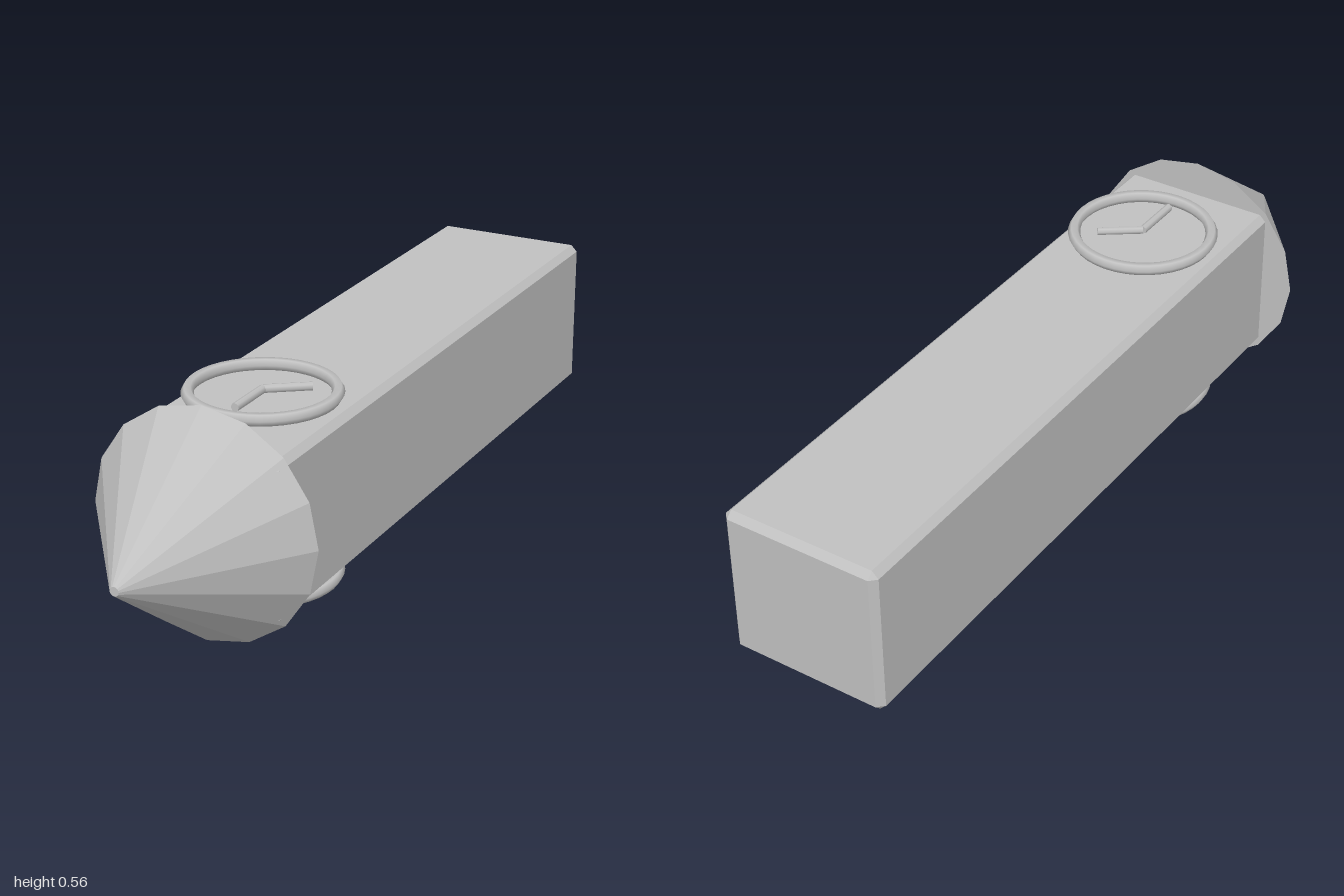
import * as THREE from 'three';
import { ConvexGeometry } from 'three/addons/geometries/ConvexGeometry.js';

// Box with every edge cut off at 45 degrees; hx, hy, hz are half sizes
function chamferedBox(hx, hy, hz, c) {
  const points = [];
  for (const sx of [-1, 1]) for (const sy of [-1, 1]) for (const sz of [-1, 1]) {
    points.push(
      new THREE.Vector3(sx * hx, sy * (hy - c), sz * (hz - c)),
      new THREE.Vector3(sx * (hx - c), sy * hy, sz * (hz - c)),
      new THREE.Vector3(sx * (hx - c), sy * (hy - c), sz * hz));
  }
  return new ConvexGeometry(points);
}

export function createModel() {
  const model = new THREE.Group();
  model.name = 'clockTower';
  const stone = new THREE.MeshStandardMaterial({ color: 0xc0c0c0 });
  stone.name = 'stoneGrey';
  const facetedStone = stone.clone();
  facetedStone.flatShading = true;
  const axisY = 0.28;

  function add(parent, name, geometry, material, x, y, z) {
    const mesh = new THREE.Mesh(geometry, material);
    mesh.name = name;
    mesh.position.set(x, y, z);
    parent.add(mesh);
    return mesh;
  }

  // Square tower lying along z, its top end just inside the roof
  add(model, 'towerShaft', chamferedBox(0.198, 0.19, 0.8375, 0.016), stone, 0, axisY, -0.1625);

  // Sixteen-sided roof with a tiny flat tip
  const roof = add(model, 'roof', new THREE.CylinderGeometry(0.011, 0.28, 0.36, 16),
    facetedStone, 0, axisY, 0.82);
  roof.rotation.x = Math.PI / 2;

  // Clock hand from the dial centre to (x, z)
  function addHand(clock, name, x, z, y) {
    const hand = add(clock, name, new THREE.CylinderGeometry(0.01, 0.01, Math.hypot(x, z), 8),
      stone, x / 2, y, z / 2);
    hand.quaternion.setFromUnitVectors(new THREE.Vector3(0, 1, 0),
      new THREE.Vector3(x, 0, z).normalize());
  }

  // A clock on the upper and the lower side
  for (const side of [1, -1]) {
    const clock = new THREE.Group();
    clock.name = side > 0 ? 'upperClock' : 'lowerClock';
    clock.position.set(0, axisY + side * 0.219, 0.375);
    const ring = add(clock, 'dialRing', new THREE.TorusGeometry(0.168, 0.015, 6, 40), stone, 0, 0, 0);
    ring.rotation.x = Math.PI / 2;
    addHand(clock, 'longHand', 0, 0.125, side * 0.005);
    addHand(clock, 'shortHand', 0.09, -0.065, side * 0.005);
    model.add(clock);
  }
  return model;
}
